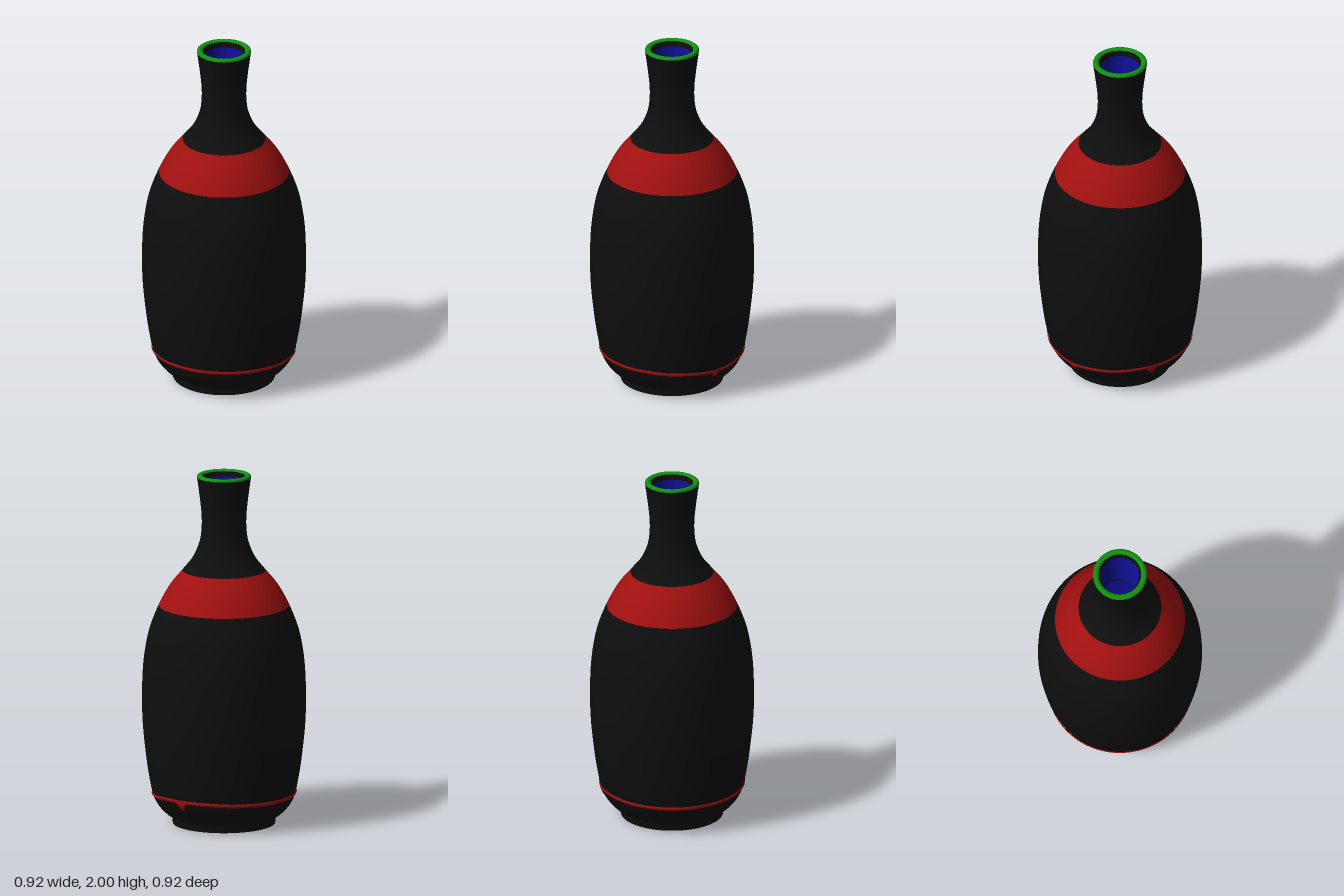
import * as THREE from 'three';

const V = (x, y) => new THREE.Vector2(x, y);
const mat = (name, color, side = THREE.FrontSide) => {
  const m = new THREE.MeshStandardMaterial({ color, side });
  m.name = name;
  return m;
};

// Outer silhouette, from above the foot to below the lip: radius, height
const profile = new THREE.SplineCurve([
  [0.292, 0.04], [0.315, 0.052], [0.355, 0.09], [0.383, 0.13], [0.402, 0.18], [0.425, 0.3],
  [0.441, 0.42], [0.455, 0.56], [0.46, 0.7], [0.456, 0.87], [0.442, 1.0], [0.416, 1.12],
  [0.365, 1.25], [0.305, 1.36], [0.232, 1.45], [0.177, 1.52], [0.138, 1.61], [0.126, 1.69],
  [0.126, 1.77], [0.135, 1.86], [0.147, 1.95], [0.152, 1.985],
].map(([r, y]) => V(r, y))).getPoints(300);

// Radius of the silhouette at a height
function radiusAt(y) {
  const i = Math.max(1, profile.findIndex((p) => p.y >= y));
  const a = profile[i - 1], b = profile[i];
  return THREE.MathUtils.lerp(a.x, b.x, (y - a.y) / (b.y - a.y));
}

// Slice of the silhouette between two heights
function slice(y0, y1, n) {
  return Array.from({ length: n + 1 }, (_, i) => {
    const y = y0 + (y1 - y0) * i / n;
    return V(radiusAt(y), y);
  });
}

// Height of the glaze line around the bottle, by compass angle in degrees
const lineHeights = [0.174, 0.164, 0.174, 0.186, 0.184, 0.178, 0.175, 0.178, 0.183, 0.188, 0.187, 0.183];
function glazeHeight(deg) {
  const t = deg / 30, i = Math.floor(t), f = t - i;
  const s = (1 - Math.cos(f * Math.PI)) / 2;
  return THREE.MathUtils.lerp(lineHeights[i % 12], lineHeights[(i + 1) % 12], s);
}

// Runs of glaze: angle, half width, depth
const drips = [[32, 4.5, 0.03], [100, 5, 0.04], [96, 2.5, 0.008]];
function dripDepth(deg) {
  return drips.reduce((d, [at, w, h]) => d + h * Math.exp(-Math.pow((deg - at) / (w * 0.6), 4)), 0);
}

// Thin raised line of glaze that follows the body
function glazeLineGeometry() {
  const geo = new THREE.PlaneGeometry(1, 1, 360, 6);
  const pos = geo.attributes.position;
  for (let i = 0; i < pos.count; i++) {
    const deg = (pos.getX(i) + 0.5) * 360, v = pos.getY(i) + 0.5;
    const mid = glazeHeight(deg);
    const y = THREE.MathUtils.lerp(mid - 0.011 - dripDepth(deg), mid + 0.011, v);
    const r = radiusAt(y) + 0.001 + 0.005 * Math.sin(Math.PI * v);
    const a = THREE.MathUtils.degToRad(deg);
    pos.setXYZ(i, r * Math.sin(a), y, r * Math.cos(a));
  }
  geo.computeVertexNormals();
  return geo;
}

export function createModel() {
  const group = new THREE.Group();
  const black = mat('black glaze', 0x0e0e0e);
  const red = mat('red glaze', 0xa01010);
  const green = mat('green rim', 0x109010);
  const blue = mat('blue interior', 0x101098);
  const pale = mat('pale floor', 0xa398bc, THREE.DoubleSide);

  const add = (name, geo, material) => {
    const mesh = new THREE.Mesh(geo, material);
    mesh.name = name;
    group.add(mesh);
    return mesh;
  };
  const lathe = (name, pts, material) => add(name, new THREE.LatheGeometry(pts, 96), material);

  // Foot: recessed underside with a small central hole, then the foot ring
  lathe('underside', [V(0.022, 0.012), V(0.255, 0.012)], black);
  lathe('footInner', [V(0.255, 0.012), V(0.262, 0)], black);
  lathe('footBottom', [V(0.262, 0), V(0.287, 0)], black);
  lathe('footSide', [V(0.287, 0), V(0.292, 0.04)], black);

  // Body, shoulder band and neck
  lathe('body', slice(0.04, 1.25, 60), black);
  lathe('shoulderBand', slice(1.25, 1.45, 14), red);
  lathe('neck', slice(1.45, 1.985, 32), black);
  add('glazeLine', glazeLineGeometry(), red);

  // Rounded lip and the dark edge inside it
  lathe('lip', [V(0.152, 1.985), V(0.15, 1.994), V(0.143, 1.999), V(0.134, 2), V(0.125, 1.997), V(0.119, 1.99)], green);
  lathe('innerLip', [V(0.119, 1.99), V(0.114, 1.98), V(0.108, 1.962)], black);

  // Interior wall and floor
  lathe('interiorWall', [
    V(0.108, 1.962), V(0.1, 1.88), V(0.091, 1.77), V(0.09, 1.68), V(0.1, 1.61), V(0.14, 1.52),
    V(0.2, 1.44), V(0.325, 1.25), V(0.4, 1.02), V(0.42, 0.7), V(0.4, 0.4), V(0.365, 0.2), V(0.28, 0.06),
  ], blue);
  const floor = add('interiorFloor', new THREE.CircleGeometry(0.28, 64), pale);
  floor.rotation.x = -Math.PI / 2;
  floor.position.y = 0.06;
  // Plug that closes the hole under the foot
  const plug = add('footPlug', new THREE.CircleGeometry(0.022, 24), pale);
  plug.rotation.x = Math.PI / 2;
  plug.position.y = 0.012;

  return group;
}
